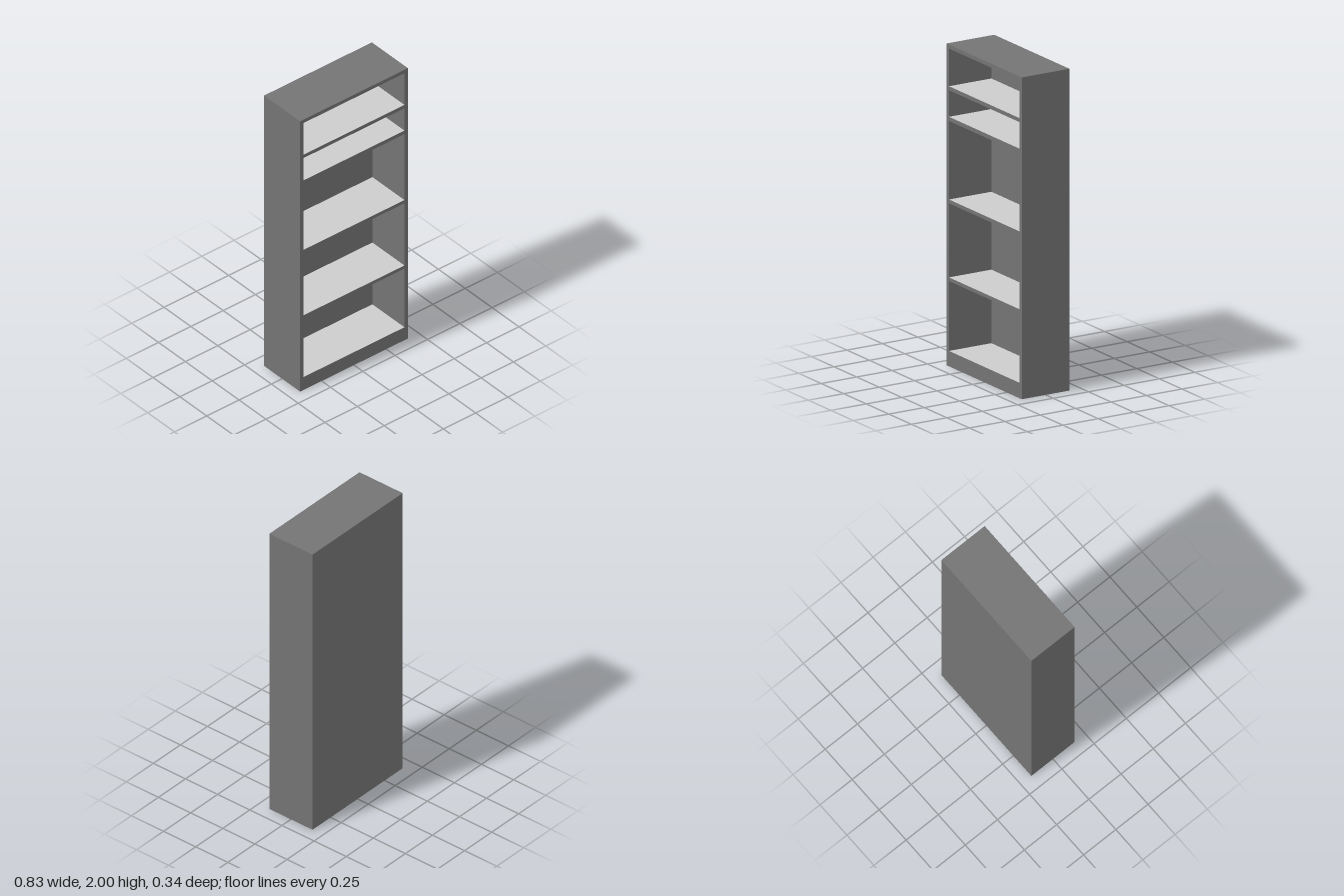
import * as THREE from 'three';

const WIDTH = 0.834, HEIGHT = 2, DEPTH = 0.336;
const BACK = 0.037; // back panel thickness
const INNER = 0.39; // half width of the openings
// bottom and top of each compartment
const BAYS = [[0.095, 0.53], [0.552, 1.013], [1.036, 1.525], [1.55, 1.716], [1.74, 1.975]];

function rectangle(path, x0, y0, x1, y1) {
  path.moveTo(x0, y0);
  path.lineTo(x1, y0);
  path.lineTo(x1, y1);
  path.lineTo(x0, y1);
  path.closePath();
  return path;
}

export function createModel() {
  const caseGrey = new THREE.MeshStandardMaterial({ color: 0x747474 });
  caseGrey.name = 'caseGrey';
  const shelfGrey = new THREE.MeshStandardMaterial({ color: 0xcccccc });
  shelfGrey.name = 'shelfGrey';

  const bookcase = new THREE.Group();
  bookcase.name = 'bookcase';
  const add = (name, geometry, material, x, y, z) => {
    const mesh = new THREE.Mesh(geometry, material);
    mesh.name = name;
    mesh.position.set(x, y, z);
    bookcase.add(mesh);
    return mesh;
  };

  // Sides, top, plinth and shelf boards as one frame with an opening per bay
  const outline = rectangle(new THREE.Shape(), -WIDTH / 2, 0, WIDTH / 2, HEIGHT);
  for (const [low, high] of BAYS) {
    outline.holes.push(rectangle(new THREE.Path(), -INNER, low, INNER, high));
  }
  const innerDepth = DEPTH - BACK;
  const frame = new THREE.ExtrudeGeometry(outline, { depth: innerDepth, bevelEnabled: false });
  add('frame', frame, caseGrey, 0, 0, -DEPTH / 2 + BACK);

  // Closed back
  add('backPanel', new THREE.BoxGeometry(WIDTH, HEIGHT, BACK), caseGrey, 0, HEIGHT / 2, (BACK - DEPTH) / 2);

  // Light upper face of every shelf
  const surface = new THREE.PlaneGeometry(INNER * 2, innerDepth).rotateX(-Math.PI / 2);
  BAYS.forEach(([low], i) => add(`shelfTop${i + 1}`, surface, shelfGrey, 0, low + 0.001, BACK / 2));

  return bookcase;
}
